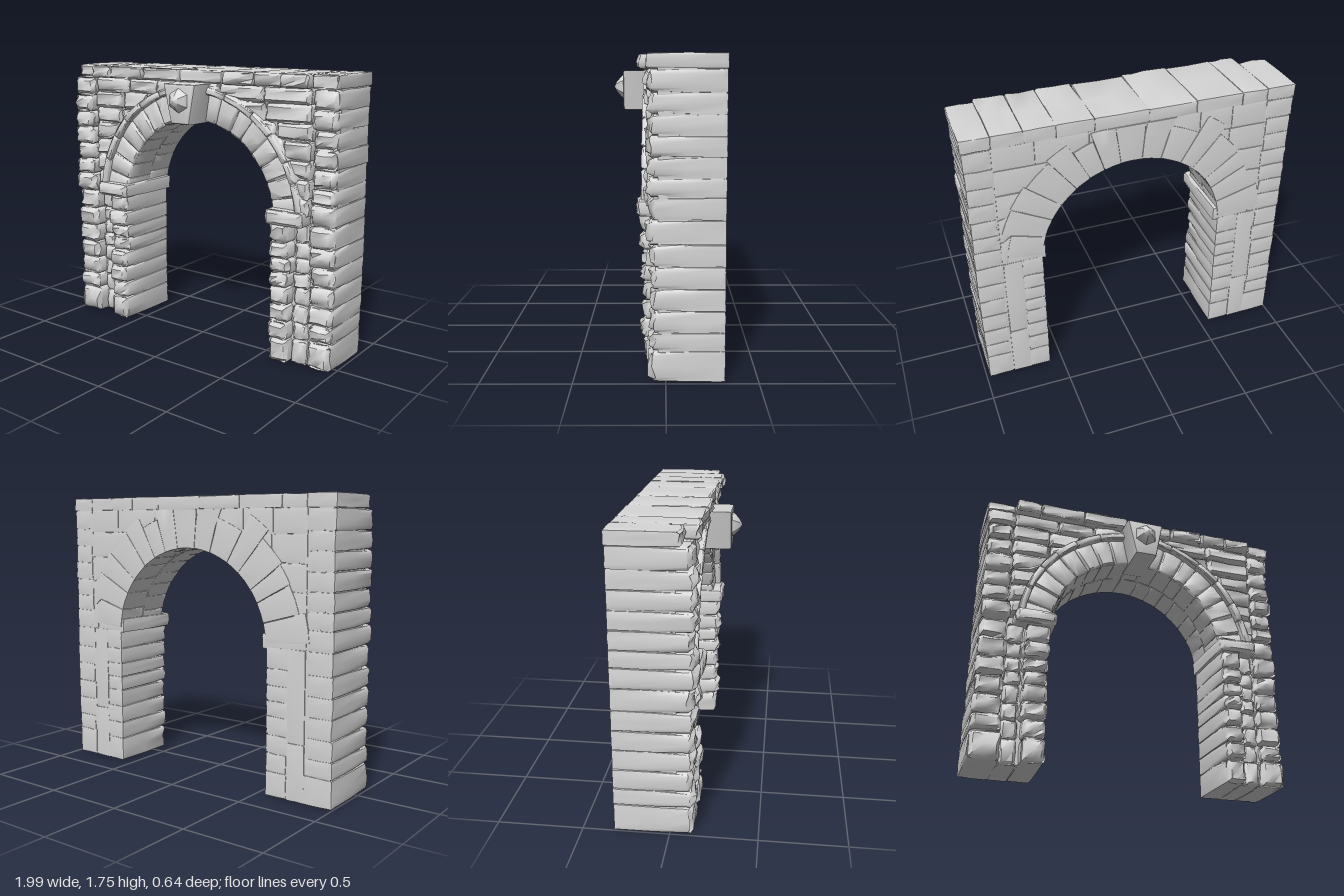
import * as THREE from 'three';
import { toCreasedNormals } from 'three/addons/utils/BufferGeometryUtils.js';

const CX = 0.008;    // centre of the arch
const CY = 0.86;
const R_IN = 0.57;   // radius of the opening
const R_TRIM = 0.785;

export function createModel() {
  const model = new THREE.Group();
  model.name = 'stoneArchway';
  const stoneGrey = new THREE.MeshStandardMaterial({ color: 0xd6d6d6 });
  stoneGrey.name = 'stoneGrey';

  let seed = 7;
  const rand = () => {
    seed = (seed * 16807) % 2147483647;
    return seed / 2147483647;
  };
  const vary = (a) => (rand() * 2 - 1) * a;

  function group(name) {
    const g = new THREE.Group();
    g.name = name;
    model.add(g);
    return g;
  }
  function add(parent, name, geometry, crease) {
    const mesh = new THREE.Mesh(toCreasedNormals(geometry, crease), stoneGrey);
    mesh.name = name;
    parent.add(mesh);
  }

  // Rough block: a box with a worn, uneven front and tight joints elsewhere, optionally bent by warp(v)
  function stone(parent, name, [x0, x1], [y0, y1], [z0, z1], { bevel = 0.02, rough = 0.01, warp } = {}) {
    const g = new THREE.BoxGeometry(1, 1, 1, 4, 4, 4);
    const p = g.attributes.position;
    const half = [(x1 - x0) / 2, (y1 - y0) / 2, (z1 - z0) / 2];
    const mid = [(x0 + x1) / 2, (y0 + y1) / 2, (z0 + z1) / 2];
    const noise = new Map();
    const v = new THREE.Vector3();
    for (let i = 0; i < p.count; i++) {
      const t = [p.getX(i), p.getY(i), p.getZ(i)];
      const key = t.map((c) => Math.round(c * 4)).join();
      if (!noise.has(key)) noise.set(key, [vary(1), vary(1), vary(1)]);
      const n = noise.get(key);
      const onEdge = t.filter((c) => Math.abs(c) > 0.4).length > 1;
      const front = t[2] > 0.1;
      const c = t.map((s, k) => {
        const b = Math.min(bevel, half[k] * 0.5);
        const wear = front ? (k === 2 ? 0.9 : 0.3) : 0.1;
        const inset = Math.abs(s) > 0.4 ? (onEdge ? b * wear : 0) : b;
        const shake = k === 2 ? (front ? rough : rough * 0.1) : rough * 0.2;
        return mid[k] + (Math.abs(s) < 0.1 ? 0 : Math.sign(s) * (half[k] - inset)) + n[k] * shake;
      });
      v.set(...c);
      if (warp) warp(v);
      p.setXYZ(i, v.x, v.y, v.z);
    }
    add(parent, name, g, 0.95);
  }

  // Bends length along x into an angle and y into a radius
  const bend = (v) => {
    const a = v.x / 0.65;
    const r = v.y;
    v.x = THREE.MathUtils.clamp(CX + r * Math.sin(a), -0.97, 0.97);
    v.y = Math.min(CY + r * Math.cos(a), 1.66);
  };
  // Pushes points out of the arch ring
  const outside = (radius) => (v) => {
    const r = Math.hypot(v.x - CX, v.y - CY);
    if (r < radius && v.y > CY) {
      v.x = CX + (v.x - CX) * radius / r;
      v.y = CY + (v.y - CY) * radius / r;
    }
  };

  // Core behind the joints
  const outline = new THREE.Shape();
  outline.moveTo(-0.985, 0.005);
  outline.lineTo(CX - 0.58, 0.005);
  outline.lineTo(CX - 0.58, CY);
  outline.absarc(CX, CY, 0.58, Math.PI, 0, true);
  outline.lineTo(CX + 0.58, 0.005);
  outline.lineTo(0.975, 0.005);
  outline.lineTo(0.975, 1.73);
  outline.lineTo(-0.985, 1.73);
  const core = new THREE.ExtrudeGeometry(outline, { depth: 0.355, bevelEnabled: false, curveSegments: 32 });
  core.translate(0, 0, -0.314);
  add(model, 'core', core, 0.4);

  // Piers: outer column, recessed strip, inner column and impost on each side
  const courses = [0, 0.17, 0.27, 0.39, 0.51, 0.63, 0.75, 0.88, 1.0, 1.1, 1.21, 1.32, 1.43, 1.54, 1.66];
  const inner = [0, 0.15, 0.26, 0.37, 0.48, 0.57, 0.66, 0.76, 0.88];
  for (const side of [-1, 1]) {
    const pier = group(side > 0 ? 'leftPier' : 'rightPier');
    const span = (a, b) => (side > 0 ? [a, b] : [-b, -a]);
    const frontZ = side > 0 ? 0.095 : 0.14;
    const end = side > 0 ? 0.983 : 0.997;
    for (let i = 0; i + 1 < courses.length; i++) {
      stone(pier, 'outerStone', span(0.825 + vary(0.01), end + vary(0.004)), [courses[i], courses[i + 1]],
        [-0.32, frontZ + vary(0.014)], { bevel: 0.026, rough: 0.012 });
    }
    for (let i = 0; i + 1 < inner.length; i++) {
      stone(pier, 'innerStone', span(0.57 + side * CX, 0.71 + vary(0.01)), [inner[i], inner[i + 1]],
        [-0.32, 0.128 + vary(0.016)], { bevel: 0.024, rough: 0.012 });
      stone(pier, 'grooveStone', span(0.718, 0.82), [inner[i], inner[i + 1]],
        [-0.2, 0.07 + vary(0.012)], { bevel: 0.018, rough: 0.01 });
    }
    for (const [a, b] of [[0, 0.34], [0.34, 0.88]]) {
      stone(pier, 'backStrip', span(0.705, 0.82), [a, b], [-0.32, 0.03], { bevel: 0.012, rough: 0.006 });
    }
    stone(pier, 'impost', span(0.545 + side * 0.014, 0.798 + side * 0.012), [0.868, 0.957], [-0.318, 0.16],
      { bevel: 0.02, rough: 0.006 });
  }

  // Arch ring: front wedges, raised outer trim, longer irregular wedges behind
  const arch = group('arch');
  const REACH = 1.5 * 0.65;
  function ring(count, jitter, make) {
    const step = (REACH * 2) / count;
    let from = -REACH;
    for (let i = 0; i < count; i++) {
      const to = i === count - 1 ? REACH : -REACH + step * (i + 1) + vary(step * jitter);
      make([from, to]);
      from = to;
    }
  }
  ring(17, 0.08, (u) =>
    stone(arch, 'frontWedge', u, [R_IN, 0.752], [-0.12, 0.094 + vary(0.006)], { bevel: 0.012, rough: 0.004, warp: bend }));
  ring(13, 0.2, (u) =>
    stone(arch, 'trim', u, [0.742, R_TRIM], [-0.05, 0.132], { bevel: 0.009, rough: 0.003, warp: bend }));
  ring(15, 0.22, (u) =>
    stone(arch, 'backWedge', u, [R_IN, 0.84 + vary(0.08)], [-0.324, -0.11], { bevel: 0.014, rough: 0.006, warp: bend }));

  // Wall stones above the arch, front and back
  const wall = group('wall');
  function wallRows(name, rows, radius, z, rough) {
    rows.slice(0, -1).forEach((y0, i) => {
      const y1 = rows[i + 1];
      let x0 = -0.825;
      while (x0 < 0.82) {
        let x1 = x0 + 0.2 + rand() * 0.12;
        if (x1 > 0.7) x1 = 0.825;
        const far = Math.max(Math.abs(x0), Math.abs(x1));
        if (Math.hypot(far, y1 - CY) > radius + 0.02) {
          stone(wall, name, [x0, x1], [y0, y1], [z[0], z[1] + vary(rough)],
            { bevel: 0.02, rough, warp: outside(radius) });
        }
        x0 = x1;
      }
    });
  }
  wallRows('frontWallStone', [0.93, 1.03, 1.14, 1.25, 1.36, 1.46, 1.57, 1.665], 0.775, [-0.1, 0.108], 0.011);
  wallRows('backWallStone', [0.88, 1.04, 1.2, 1.36, 1.52, 1.665], 0.78, [-0.32, -0.1], 0.006);

  // Coping course along the top
  const coping = group('coping');
  const joints = [-1, -0.82, -0.66, -0.37, -0.08, 0.24, 0.46, 0.64, 0.82, 0.985];
  for (let i = 0; i + 1 < joints.length; i++) {
    const front = i === 0 ? 0.07 : i === joints.length - 2 ? 0.105 : 0.14 + vary(0.012);
    stone(coping, 'copingStone', [joints[i], joints[i + 1]], [1.662, 1.741], [-0.322, front],
      { bevel: 0.012, rough: 0.012 });
  }

  // Keystone block
  const keystone = group('keystone');
  const face = new THREE.Shape([[-0.055, 1.42], [0.085, 1.42], [0.13, 1.66], [-0.11, 1.66]]
    .map(([x, y]) => new THREE.Vector2(x, y)));
  const block = new THREE.ExtrudeGeometry(face, {
    depth: 0.28, bevelThickness: 0.015, bevelSize: 0.015, bevelOffset: -0.015, bevelSegments: 2,
  });
  block.translate(0, 0, -0.035);
  add(keystone, 'keystoneBlock', block, 0.6);

  // Shield boss: a shallow dome with a six-cornered outline and a pointed foot
  const boss = new THREE.LatheGeometry(
    [[0.082, 0], [0.082, 0.05], [0.062, 0.078], [0.03, 0.105], [0, 0.12]].map(([r, h]) => new THREE.Vector2(r, h)), 6);
  boss.rotateX(Math.PI / 2);
  boss.translate(0.01, 1.562, 0.2);
  add(keystone, 'shieldBoss', boss, 0.6);

  return model;
}
